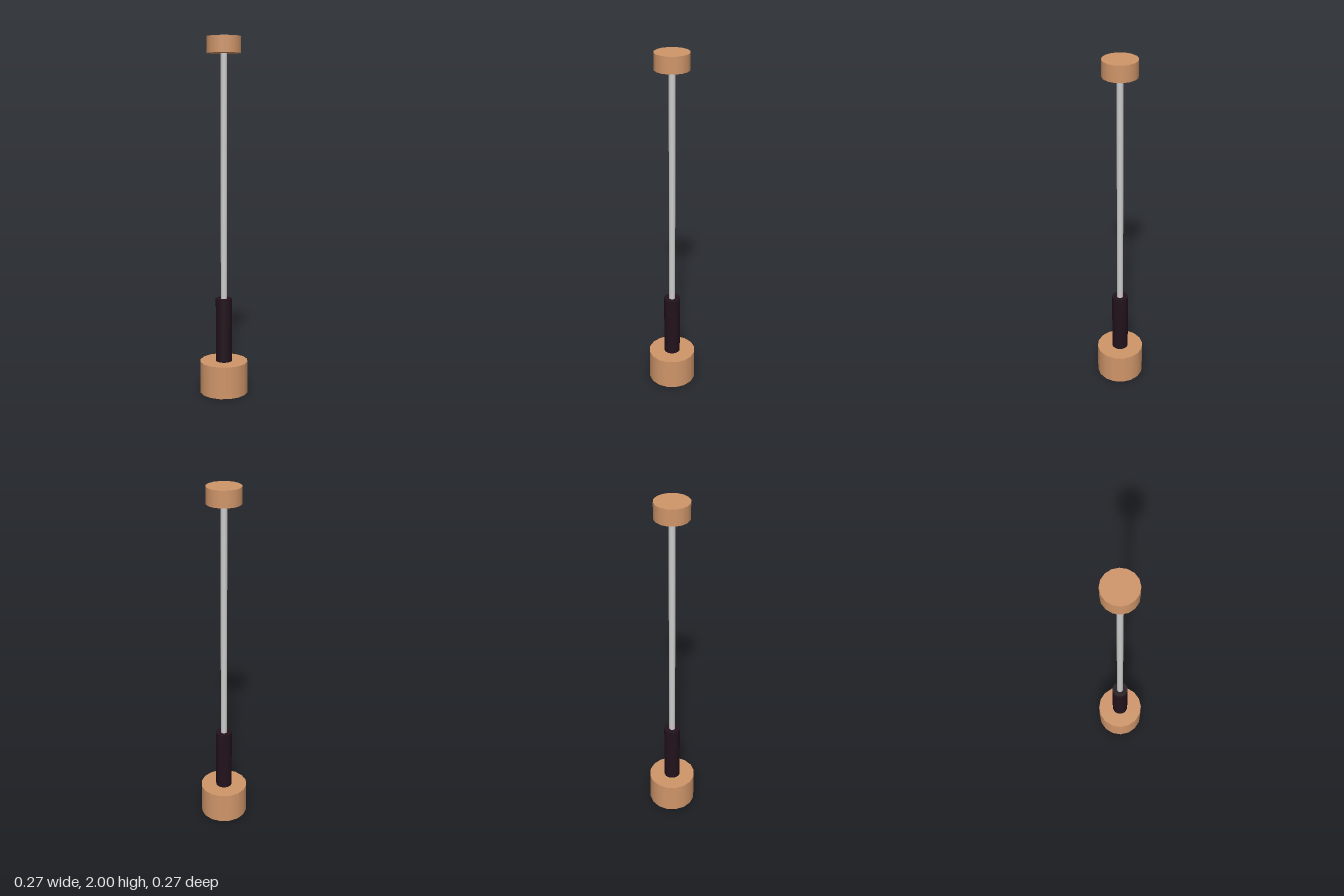
import * as THREE from 'three';

const SIDES = 16;
const copper = new THREE.MeshStandardMaterial({ color: 0xd0966a });
const dark = new THREE.MeshStandardMaterial({ color: 0x22121c });
const grey = new THREE.MeshStandardMaterial({ color: 0xcccccc });

// Upright cylinder spanning bottom to top
function addCylinder(group, name, radius, bottom, top, material) {
  const geometry = new THREE.CylinderGeometry(radius, radius, top - bottom, SIDES);
  const mesh = new THREE.Mesh(geometry, material);
  mesh.name = name;
  mesh.position.y = (bottom + top) / 2;
  group.add(mesh);
}

export function createModel() {
  const group = new THREE.Group();
  group.name = 'weightedRod';

  // Heavy base: copper side and top, grey underside
  addCylinder(group, 'base', 0.136, 0, 0.183, [copper, copper, grey]);
  // Dark sleeve rising from the base
  addCylinder(group, 'sleeve', 0.047, 0.183, 0.546, dark);
  // Long thin rod
  addCylinder(group, 'rod', 0.018, 0.546, 1.91, grey);
  // Cap on top of the rod
  addCylinder(group, 'cap', 0.095, 1.91, 2, copper);

  return group;
}
